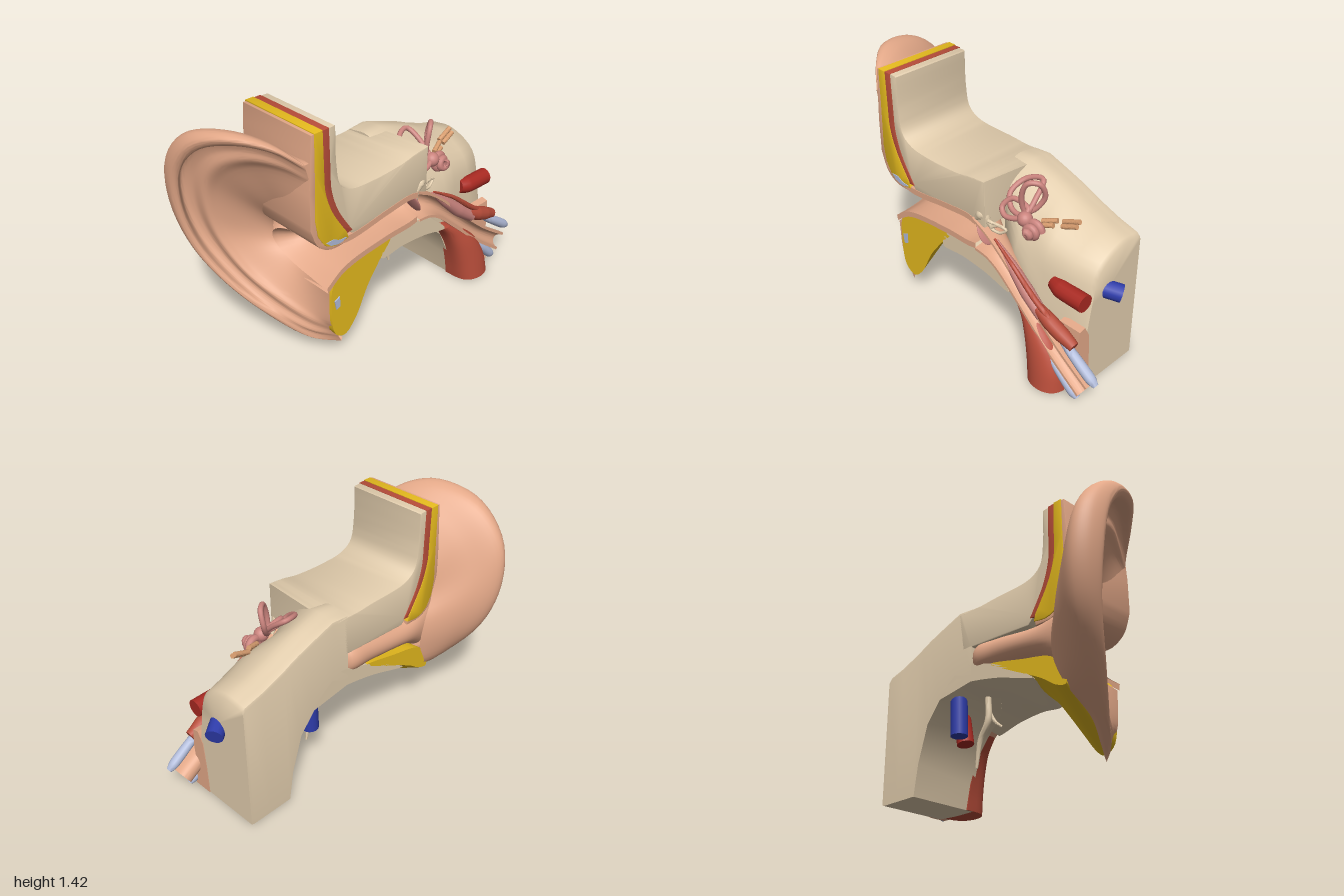
import * as THREE from 'three';
import { toCreasedNormals } from 'three/addons/utils/BufferGeometryUtils.js';

const V = (a) => new THREE.Vector3(...a);
const mat = (name, color) => {
  const m = new THREE.MeshStandardMaterial({ color, side: THREE.DoubleSide });
  m.name = name;
  return m;
};

// smooth curve through points, sampled evenly by index
function spline(pts, n) {
  const c = new THREE.CatmullRomCurve3(pts);
  return Array.from({ length: n + 1 }, (_, i) => c.getPoint(i / n));
}

// surface through rows of points; closed rows become tubes with capped ends
function loft(rows, closed = false, caps = false, crease = 0.7) {
  const pos = [], idx = [], n = rows[0].length;
  rows.forEach((r) => r.forEach((p) => pos.push(p.x, p.y, p.z)));
  for (let i = 0; i < rows.length - 1; i++)
    for (let j = 0; j < (closed ? n : n - 1); j++) {
      const a = i * n + j, b = i * n + (j + 1) % n;
      idx.push(a, b, b + n, a, b + n, a + n);
    }
  if (caps) [0, rows.length - 1].forEach((i) => {
    const c = rows[i].reduce((s, p) => s.add(p), new THREE.Vector3()).divideScalar(n);
    const k = pos.length / 3;
    pos.push(c.x, c.y, c.z);
    for (let j = 0; j < n; j++) {
      const a = i * n + j, b = i * n + (j + 1) % n;
      if (i) idx.push(k, a, b); else idx.push(k, b, a);
    }
  });
  const g = new THREE.BufferGeometry();
  g.setAttribute('position', new THREE.Float32BufferAttribute(pos, 3));
  g.setIndex(idx);
  return toCreasedNormals(g, crease);
}

// smooth rows along their length
function smoothRows(rows, n) {
  const cols = rows[0].map((_, j) => spline(rows.map((r) => r[j]), n));
  return Array.from({ length: n + 1 }, (_, i) => cols.map((c) => c[i]));
}

// open half pipe with wall: [topX, topY, bottomX, bottomY, outerDepth, innerDepth]
function halfPipe(stations, z, wall, power) {
  const rows = stations.map(([tx, ty, bx, by, dOut, dIn]) => {
    const row = [], N = 20;
    const put = (a, s, d, p) => {
      const k = 0.5 - 0.5 * s * Math.cos(a);
      row.push(new THREE.Vector3(tx + (bx - tx) * k, ty + (by - ty) * k, z - d * Math.pow(Math.max(0, Math.sin(a)), p)));
    };
    const h = Math.hypot(tx - bx, ty - by);
    for (let i = 0; i <= N; i++) put(Math.PI * i / N, 1, dOut, power);
    for (let i = N; i >= 0; i--) put(Math.PI * i / N, 1 - 2 * wall / h, dIn, 1);
    return row;
  });
  return loft(smoothRows(rows, 24), true, false, 0.9);
}

// flat outline extruded from back to front
function slab(pts, z0, z1, bevel = 0.006) {
  const s = new THREE.Shape(pts.map((p) => new THREE.Vector2(...p)));
  const g = new THREE.ExtrudeGeometry(s, {
    depth: z1 - z0 - 2 * bevel, bevelEnabled: bevel > 0, bevelSize: bevel, bevelThickness: bevel, bevelOffset: -bevel, bevelSegments: 2,
  });
  return g.translate(0, 0, z0 + bevel);
}
const curve2 = (pts, n) => spline(pts.map(([x, y]) => V([x, y, 0])), n).map((p) => [p.x, p.y]);

const tube = (pts, r, closed = false) =>
  new THREE.TubeGeometry(new THREE.CatmullRomCurve3(pts.map(V), closed), 40, r, 10, closed);

// tapered round rod through points, with a radius at each step along it
function rod(pts, radii) {
  const c = new THREE.CatmullRomCurve3(pts.map(V)), n = 24, f = c.computeFrenetFrames(n);
  const rows = [];
  for (let i = 0; i <= n; i++) {
    const p = c.getPointAt(i / n), q = i / n * (radii.length - 1), k = Math.min(Math.floor(q), radii.length - 2);
    const r = THREE.MathUtils.lerp(radii[k], radii[k + 1], q - k);
    rows.push(Array.from({ length: 14 }, (_, j) => {
      const a = j / 14 * Math.PI * 2;
      return p.clone().addScaledVector(f.normals[i], r * Math.cos(a)).addScaledVector(f.binormals[i], r * Math.sin(a));
    }));
  }
  return loft(rows, true, true, 1);
}

export function createModel() {
  const root = new THREE.Group();
  const skin = mat('skin', 0xe3a888), bone = mat('bone', 0xe2cdad), fat = mat('fat', 0xe6bb1e),
    muscle = mat('muscle', 0xb84d3a), artery = mat('artery', 0xaa2a22), vein = mat('vein', 0x2e3cab),
    cartilage = mat('cartilage', 0xb2bcda), labyrinth = mat('labyrinth', 0xcb847e), nerve = mat('nerve', 0xd99e70);
  const add = (name, geo, m) => {
    const mesh = new THREE.Mesh(geo, m);
    mesh.name = name;
    root.add(mesh);
    return mesh;
  };

  // auricle: from the back base over the rolled rim, into the bowl and the canal mouth
  const base = [[-.62, 1.27, .34], [-.63, 1.26, .2], [-.628, 1.2, .04], [-.625, 1.03, -.1], [-.61, .85, -.15], [-.54, .7, -.168],
    [-.52, .53, -.158], [-.58, .36, -.145], [-.57, .23, .07], [-.5, .15, .22], [-.43, .11, .34]].map(V);
  const rim = [[-.66, 1.27, .34], [-.75, 1.37, .2], [-.85, 1.41, .02], [-.925, 1.345, -.23], [-.945, 1.16, -.4], [-.93, .9, -.438],
    [-.875, .63, -.365], [-.785, .4, -.18], [-.67, .22, .05], [-.56, .12, .23], [-.44, .09, .34]].map(V);
  const bowl = [[-.63, 1.15, .345], [-.68, 1.18, .2], [-.74, 1.17, .05], [-.79, 1.1, -.08], [-.8, .98, -.17], [-.78, .82, -.2],
    [-.74, .66, -.18], [-.69, .5, -.08], [-.62, .38, .08], [-.56, .3, .22], [-.52, .26, .345]].map(V);
  const mouth = [[-.6, .86, .35], [-.6, .87, .22], [-.59, .85, .1], [-.58, .81, .02], [-.56, .75, -.04], [-.55, .68, -.06],
    [-.54, .61, -.04], [-.54, .56, .02], [-.53, .52, .1], [-.53, .49, .22], [-.53, .47, .35]].map(V);
  const facing = V([-.45, 0, .89]);
  const blend = (a, b, k, lift, span = 10) => a.map((p, i) =>
    p.clone().lerp(b[i], k).addScaledVector(facing, lift * Math.sin(Math.PI * Math.min(1, i / span))));
  const ear = [base, blend(base, rim, .5, -.025), blend(base, rim, .92, -.01), blend(rim, bowl, -.02, .075, 8.5), blend(rim, bowl, .06, .155, 8.5),
    blend(rim, bowl, .2, .14, 8.5), blend(rim, bowl, .3, .03), blend(rim, bowl, .52, .01), blend(rim, bowl, .72, .04), bowl, mouth];
  add('auricle', loft(smoothRows(ear.map((r) => spline(r, 48)), 70), false, false, 1.2), skin);

  // ear canal and the tube leading down to the throat
  add('earCanal', halfPipe([[-.6, .84, -.54, .47, .515, .4], [-.42, .765, -.42, .55, .525, .3], [-.1, .795, -.1, .595, .525, .22],
    [.06, .81, .07, .6, .515, .17], [.13, .8, .13, .61, .4, .14]], .353, .035, .22), skin);
  add('auditoryTube', halfPipe([[.12, .81, .14, .61, .2, .14], [.22, .76, .22, .6, .15, .1], [.34, .67, .3, .56, .12, .07],
    [.52, .5, .46, .42, .11, .06], [.75, .3, .68, .22, .1, .055], [.95, .16, .89, .06, .09, .05]], .365, .016, .6), skin);

  // layered upper block, each layer tucked under the next
  const inner = curve2([[-.505, 1.2], [-.5, 1.08], [-.46, .95], [-.39, .83], [-.36, .785]], 14);
  const shift = (dx, dy) => inner.map(([x, y]) => [x + dx, y + dy]);
  const top = curve2([[-.47, 1.41], [-.465, 1.2], [-.44, 1.08], [-.37, 1.03], [-.2, 1.015], [0, 1.025], [.1, 1.045], [.2, 1.055]], 30);
  const block = slab([[-.53, 1.416], ...shift(-.02, -.005), [-.35, .75], [-.1, .763], [.1, .775], [.2, .775], ...top.reverse(), [-.475, 1.416]], -.15, .35);
  // the top of the block sinks a little toward the back
  const bp = block.attributes.position;
  for (let i = 0; i < bp.count; i++) {
    const sink = THREE.MathUtils.smoothstep(bp.getX(i), -.15, .2);
    if (bp.getZ(i) < 0 && bp.getY(i) > .95) bp.setY(i, bp.getY(i) - .04 * sink);
  }
  const layer = (name, geo, m) => add(name, toCreasedNormals(geo, 0.6), m);
  layer('upperBone', block, bone);
  layer('upperMuscle', slab([[-.57, 1.418], ...shift(-.07, -.005), ...shift(-.004, 0).reverse(), [-.514, 1.418]], -.153, .353, .002), muscle);
  layer('upperFat', slab([[-.607, 1.421], [-.609, 1.2], [-.616, .95], ...curve2([[-.6, .85], [-.55, .773], [-.48, .745], [-.395, .755]], 10),
    ...shift(-.047, .01).reverse(), [-.556, 1.421]], -.156, .356, .002), fat);
  layer('upperSkin', slab([[-.625, 1.416], [-.632, 1.32], [-.645, 1.1], ...curve2([[-.645, .9], [-.6, .79], [-.52, .735], [-.4, .73]], 10),
    ...curve2([[-.4, .765], [-.48, .765], [-.54, .79], [-.58, .86]], 10), [-.6, 1.1], [-.595, 1.416]], -.15, .352, .002), skin);
  layer('canalCartilage', slab(curve2([[-.55, .79], [-.5, .79], [-.46, .77], [-.41, .765], [-.46, .75], [-.52, .762]], 16), .353, .36, 0), cartilage);
  layer('lobeCartilage', slab([[-.495, .395], [-.46, .41], [-.46, .345], [-.485, .335]], .35, .357, 0), cartilage);

  // lower fat and bone, whose outline changes from back to front
  const frontToBack = (front, back) => {
    const rows = [front, back].map((o, i) => {
      const c = new THREE.CatmullRomCurve3(o.map(([x, y]) => V([x, y, i ? -.15 : .35])), true);
      return Array.from({ length: 48 }, (_, k) => c.getPoint(k / 48));
    });
    return loft(Array.from({ length: 9 }, (_, i) => rows[0].map((p, j) => p.clone().lerp(rows[1][j], i / 8))), true, true);
  };
  add('lowerFat', frontToBack(
    [[-.07, .615], [-.3, .585], [-.49, .515], [-.515, .36], [-.49, .17], [-.42, .13], [-.34, .2], [-.25, .37], [-.17, .48]],
    [[-.06, .62], [-.3, .57], [-.5, .52], [-.58, .45], [-.6, .34], [-.54, .35], [-.45, .41], [-.36, .46], [-.2, .54]]), fat);
  add('lowerBone', frontToBack(
    [[-.09, .605], [.05, .615], [.2, .6], [.38, .45], [.2, .485], [.02, .5], [-.14, .495]],
    [[-.08, .615], [.03, .65], [.15, .68], [.36, .53], [.2, .57], [-.08, .53], [-.38, .44]]), bone);

  // inner bone: [x, bottom, rise at back, top, shoulder z, shoulder y, front z, front y, foot z]
  const petrous = [[.09, .53, .07, 1.03, .1, .95, .08, .75, .08], [.2, .5, .09, 1.04, .17, .94, .2, .72, .2], [.35, .43, .1, .99, .2, .82, .28, .64, .25],
    [.45, .33, .08, .955, .21, .81, .29, .57, .26], [.52, .15, .04, .925, .22, .79, .285, .53, .28], [.55, .005, 0, .91, .22, .78, .28, .5, .3],
    [.7, .005, 0, .855, .2, .74, .26, .5, .3], [.815, .005, 0, .825, .17, .735, .23, .5, .28], [.832, .01, 0, .805, .155, .72, .22, .49, .275]]
    .map(([x, yb, up, yt, dz, dy, ez, ey, fz]) => [V([x, yb + up, -.15]), V([x, yt - .03, -.15]), V([x, yt - .015, -.145]),
      ...spline([[x, yt - .01, -.13], [x, yt, 0], [x, dy, dz], [x, ey, ez], [x, yb, fz]].map(V), 20)]);
  add('innerBone', loft(petrous, true, true, 0.8), bone);

  // throat muscle and the lining beside it
  const belly = [[.005, .54, .78, .43], [.12, .52, .76, .415], [.25, .485, .69, .39], [.35, .44, .58, .36], [.43, .38, .46, .34]];
  add('throatMuscle', loft(smoothRows(belly.map(([y, x0, x1, z]) => Array.from({ length: 25 }, (_, i) => {
    const a = i / 24 * Math.PI;
    return new THREE.Vector3((x0 + x1) / 2 - (x1 - x0) / 2 * Math.cos(a), y, .25 + (z - .25) * Math.pow(Math.sin(a), .5));
  })), 16), true, true), muscle);
  const lining = [[.008, .21], [.2, .215], [.36, .225], [.43, .26], [.42, .3], [.3, .31], [.15, .3], [.008, .33]];
  add('throatLining', loft([.7, .836].map((x) => lining.map(([y, z]) => V([x, y, z]))), true, true), skin);

  // muscle along the tube and cartilage rods
  add('tensorTendon', rod([[.27, .725, .33], [.4, .61, .335], [.52, .505, .34], [.62, .43, .345]], [.008, .03, .04, .036]), labyrinth);
  add('tensorUpper', rod([[.27, .74, .345], [.42, .65, .36], [.58, .52, .36], [.7, .43, .35]], [.006, .012, .016, .016]), muscle);
  add('tensorMuscle', rod([[.59, .465, .345], [.7, .41, .345], [.8, .365, .34], [.835, .35, .34]], [.032, .043, .042, .03]), muscle);
  [[[.68, .41, .34], [.84, .3, .345], [.97, .21, .345], [.995, .193, .345]], [[.64, .24, .35], [.76, .13, .345], [.85, .045, .34], [.875, .025, .34]]]
    .forEach((p) => add('tubeCartilage', rod(p, [.015, .018, .02, .023, .026, .028, .029, .03, .03, .029, .016]), cartilage));

  // eardrum and small bones
  const drum = add('eardrum', new THREE.SphereGeometry(1, 24, 12), labyrinth);
  drum.scale.set(.012, .085, .06);
  drum.position.set(.15, .71, .29);
  drum.rotation.z = .45;
  add('hammer', rod([[.11, .86, .31], [.13, .82, .32], [.15, .76, .32], [.16, .7, .31]], [.022, .03, .013, .01]), bone);
  add('anvil', rod([[.12, .79, .34], [.17, .84, .33], [.2, .8, .32], [.23, .75, .31]], [.012, .03, .016, .01]), bone);
  add('stirrup', tube([[.22, .77, .32], [.26, .8, .31], [.31, .79, .3], [.27, .76, .31]], .008, true), bone);
  add('ossicleLigament', rod([[.17, .86, .33], [.19, .82, .33], [.3, .8, .3]], [.012, .01, .007]), bone);

  // labyrinth: looped canals, vestibule and spiral
  add('superiorCanal', tube([[.35, .88, .2], [.34, .98, .22], [.37, 1.06, .21], [.42, 1.06, .17], [.43, .98, .14], [.39, .9, .17]], .015, true), labyrinth);
  add('posteriorCanal', tube([[.36, .87, .22], [.27, .87, .22], [.22, .93, .18], [.25, .99, .09], [.34, 1.01, .06], [.37, .95, .14]], .015, true), labyrinth);
  add('lateralCanal', tube([[.35, .86, .24], [.26, .84, .26], [.22, .87, .24], [.26, .92, .2], [.37, .9, .2]], .015, true), labyrinth);
  add('vestibule', new THREE.SphereGeometry(.042, 20, 14).translate(.375, .86, .23), labyrinth);
  const spiral = Array.from({ length: 30 }, (_, i) => {
    const a = i / 29 * Math.PI * 4.6, r = .046 * (1 - i / 40);
    return [.435 + r * Math.cos(a), .82 + r * Math.sin(a), .215 + i * .0024];
  });
  add('cochlea', tube(spiral, .021), labyrinth);

  // nerves leaving the inner bone
  [[.45, .86, .18, .53, .885, .15], [.45, .84, .19, .52, .86, .17], [.55, .88, .13, .65, .92, .12], [.56, .865, .15, .65, .9, .14]]
    .forEach((p) => add('nerve', rod([p.slice(0, 3), p.slice(3)], [.014, .014]), nerve));
  add('facialNerve', rod([[.15, .54, .04], [.15, .4, .04], [.21, .3, .04], [.24, .14, .04]], [.018, .02, .016, .008]), bone);
  add('nerveBranch', rod([[.16, .47, .05], [.13, .4, .07], [.09, .36, .09]], [.014, .012, .007]), bone);

  // blood vessels
  add('upperArtery', rod([[.61, .595, .25], [.66, .59, .262], [.83, .585, .265]], [.04, .05, .05, .05, .05]), artery);
  add('upperVein', rod([[.78, .585, .11], [.885, .555, .04]], [.05, .05]), vein);
  add('lowerArtery', rod([[.39, .55, .05], [.345, .31, .05]], [.05, .05]), artery);
  add('lowerVein', rod([[.3, .6, -.05], [.29, .32, -.05]], [.05, .05]), vein);
  return root;
}
